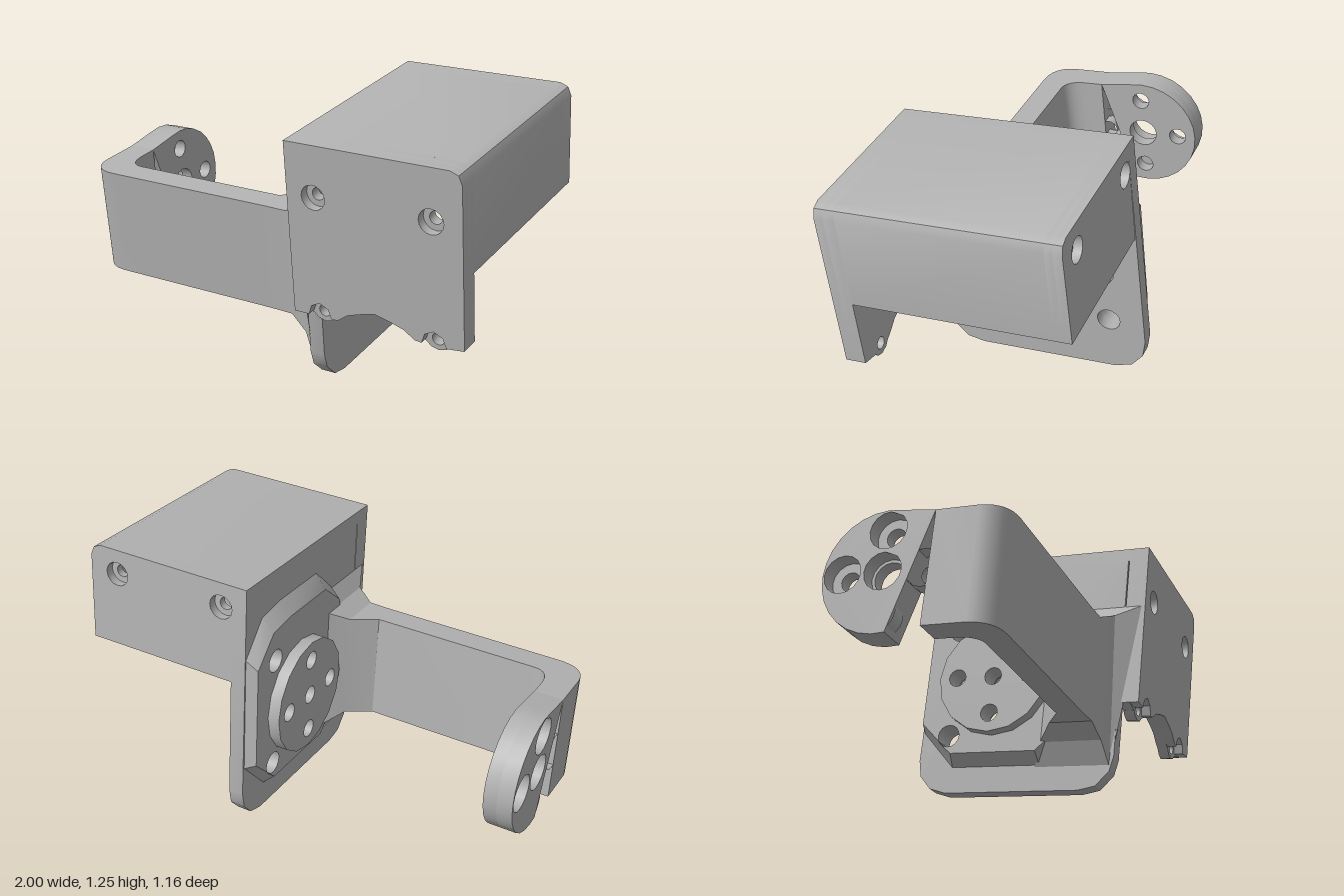
import * as THREE from 'three';
import { toCreasedNormals } from 'three/addons/utils/BufferGeometryUtils.js';

const grey = new THREE.MeshStandardMaterial({ color: 0xb2b2b2, side: THREE.DoubleSide });
grey.name = 'plain grey';

function outline(points, holes = []) {
  const shape = new THREE.Shape(points.map(([a, b]) => new THREE.Vector2(a, b)));
  return drill(shape, holes);
}

function drill(shape, holes) {
  for (const [a, b, r] of holes) {
    const path = new THREE.Path();
    path.absarc(a, b, r, 0, Math.PI * 2, true);
    shape.holes.push(path);
  }
  return shape;
}

function extrude(shape, depth) {
  return new THREE.ExtrudeGeometry(shape, { depth, bevelEnabled: false, curveSegments: 8 });
}

// Slab facing sideways: shape is drawn as (-z, y) and runs from x0 to x1
const slabX = (shape, x0, x1) => extrude(shape, x1 - x0).rotateY(Math.PI / 2).translate(x0, 0, 0);
// Slab facing forwards: shape is drawn as (x, y) and runs from z0 to z1
const slabZ = (shape, z0, z1) => extrude(shape, z1 - z0).translate(0, 0, z0);

// Open skin over rings of (-z, y) points placed along x
function loft(rings) {
  const pos = [];
  const at = ([x, pts], j) => {
    const [a, b] = pts[j % pts.length];
    return [x, b, -a];
  };
  for (let i = 0; i < rings.length - 1; i++) {
    for (let j = 0; j < rings[i][1].length; j++) {
      const p = at(rings[i], j), q = at(rings[i], j + 1);
      const r = at(rings[i + 1], j + 1), s = at(rings[i + 1], j);
      pos.push(...p, ...q, ...r, ...p, ...r, ...s);
    }
  }
  const g = new THREE.BufferGeometry();
  g.setAttribute('position', new THREE.Float32BufferAttribute(pos, 3));
  g.computeVertexNormals();
  return g;
}

// Centre hole and four around it
const holePattern = (r, centre = r) => [
  [0, 0, centre], [0.18, 0, r], [-0.18, 0, r], [0, 0.18, r], [0, -0.18, r],
];

export function createModel() {
  const model = new THREE.Group();
  model.name = 'servoBracket';
  const tilted = new THREE.Group();
  tilted.name = 'tiltedBracket';
  tilted.position.set(0, 0.567, -0.16);
  tilted.rotation.x = 0.108;
  model.add(tilted);
  const add = (name, geometry, crease = 0.55) => {
    const mesh = new THREE.Mesh(toCreasedNormals(geometry, crease), grey);
    mesh.name = name;
    tilted.add(mesh);
  };

  // Side plate with counterbored hub holes and two corner holes
  const corners = [[0.218, 0.265, 0.053], [0.218, -0.265, 0.053]];
  const plate = [
    [-0.577, 0.6], [-0.577, -0.37], [-0.56, -0.44], [-0.5, -0.505], [-0.42, -0.523],
    [0.23, -0.523], [0.31, -0.5], [0.365, -0.44], [0.381, -0.363], [0.373, 0.6],
  ];
  add('sidePlate', slabX(outline(plate, [...holePattern(0.083), ...corners]), 0.21, 0.28));

  // Raised pad with sloped rim, and the round hub on it
  const pad = [
    [0.36, -0.2], [0.36, 0.28], [0.24, 0.41], [0.1, 0.43], [-0.2, 0.43],
    [-0.34, 0.32], [-0.37, 0.2], [-0.37, -0.2], [-0.22, -0.35], [0.2, -0.35],
  ];
  add('hubPad', slabX(outline(pad, [...holePattern(0.042), ...corners]), 0.155, 0.21));
  const padBase = pad.map(([a, b]) => [a * 1.03, b * 1.15]);
  add('hubPadRim', loft([[0.155, pad], [0.212, padBase]]));
  const disc = new THREE.Shape().absarc(0, 0, 0.27, 0, Math.PI * 2, false);
  add('hubDisc', slabX(drill(disc, holePattern(0.042)), 0.1, 0.156));

  // Box cover: roof and outer wall between the front and back walls
  const shoulder = [[1, 0.6], [0.985, 0.638], [0.95, 0.653], [0.21, 0.653]];
  const channel = [
    [0.21, 0.59], [0.94, 0.59], [0.94, 0.195], [1, 0.195], ...shoulder,
  ];
  add('coverRoof', slabZ(outline(channel), -0.3, 0.59));

  // Back wall in two layers so its screw holes are counterbored
  const back = [[0.21, 0.195], [1, 0.195], ...shoulder];
  const screws = (y, r) => [[0.335, y, r], [0.865, y, r]];
  add('backWallOuter', slabZ(outline(back, screws(0.54, 0.055)), -0.373, -0.335));
  add('backWallInner', slabZ(outline(back, screws(0.54, 0.028)), -0.335, -0.3));

  // Front wall: arched lower edge, notched in front of the two screw lugs
  const mirrorX = (pts) => [...pts].reverse().map(([x, y]) => [1.2 - x, y]);
  const arch = [[0.42, -0.115], [0.47, -0.08], [0.53, -0.06]];
  const lug = [[0.28, -0.13], [0.3, -0.15], [0.335, -0.16], [0.37, -0.15], [0.39, -0.13]];
  const notch = [[0.28, -0.118], [0.295, -0.075], [0.335, -0.055], [0.375, -0.075], [0.39, -0.118]];
  const frontWall = (edge) => [
    [0.21, -0.118], ...edge, ...arch, [0.6, -0.042],
    ...mirrorX([...edge, ...arch]), [1, -0.11], ...shoulder,
  ];
  add('frontWallOuter', slabZ(outline(frontWall(notch), screws(0.426, 0.055)), 0.632, 0.674));
  add('frontWallInner',
    slabZ(outline(frontWall(lug), [...screws(0.426, 0.028), ...screws(-0.108, 0.028)]), 0.582, 0.632));

  // Cross arm with its rounded corner
  const arm = new THREE.Shape();
  arm.moveTo(0.1, 0.386);
  arm.lineTo(-0.79, 0.386);
  arm.quadraticCurveTo(-0.87, 0.386, -0.87, 0.28);
  arm.lineTo(-0.87, 0.2);
  arm.lineTo(-1, 0.2);
  arm.lineTo(-1, 0.39);
  arm.quadraticCurveTo(-0.99, 0.506, -0.86, 0.506);
  arm.lineTo(0.1, 0.506);
  add('crossArm', extrude(arm, 0.5).rotateX(Math.PI / 2).translate(0, 0.25, 0));

  // Round-ended pivot lug at the far end of the arm, counterbored outside
  const lugShape = (holes) => {
    const s = new THREE.Shape();
    s.moveTo(-0.2, -0.25);
    s.absarc(0, 0, 0.27, -1.75, 1.75, false);
    s.lineTo(-0.2, 0.25);
    return drill(s, holes);
  };
  add('pivotLugOuter', slabX(lugShape(holePattern(0.083)), -1, -0.93));
  add('pivotLugInner', slabX(lugShape(holePattern(0.042, 0.07)), -0.93, -0.87));

  // Faceted flare joining the arm to the side plate
  const flare = [
    [-0.03, 0.386, 0.506, 0.506, -0.25, 0.25],
    [0.08, 0.31, 0.51, 0.51, -0.25, 0.25],
    [0.16, 0.24, 0.55, 0.53, -0.31, 0.29],
    [0.215, 0.2, 0.668, 0.56, -0.42, 0.36],
  ];
  add('armFlare', loft(flare.map(([x, zBack, zTop, zLow, low, top]) =>
    [x, [[-zBack, low], [-zBack, top], [-zTop, top], [-zLow, low]]])), 0.3);

  return model;
}
